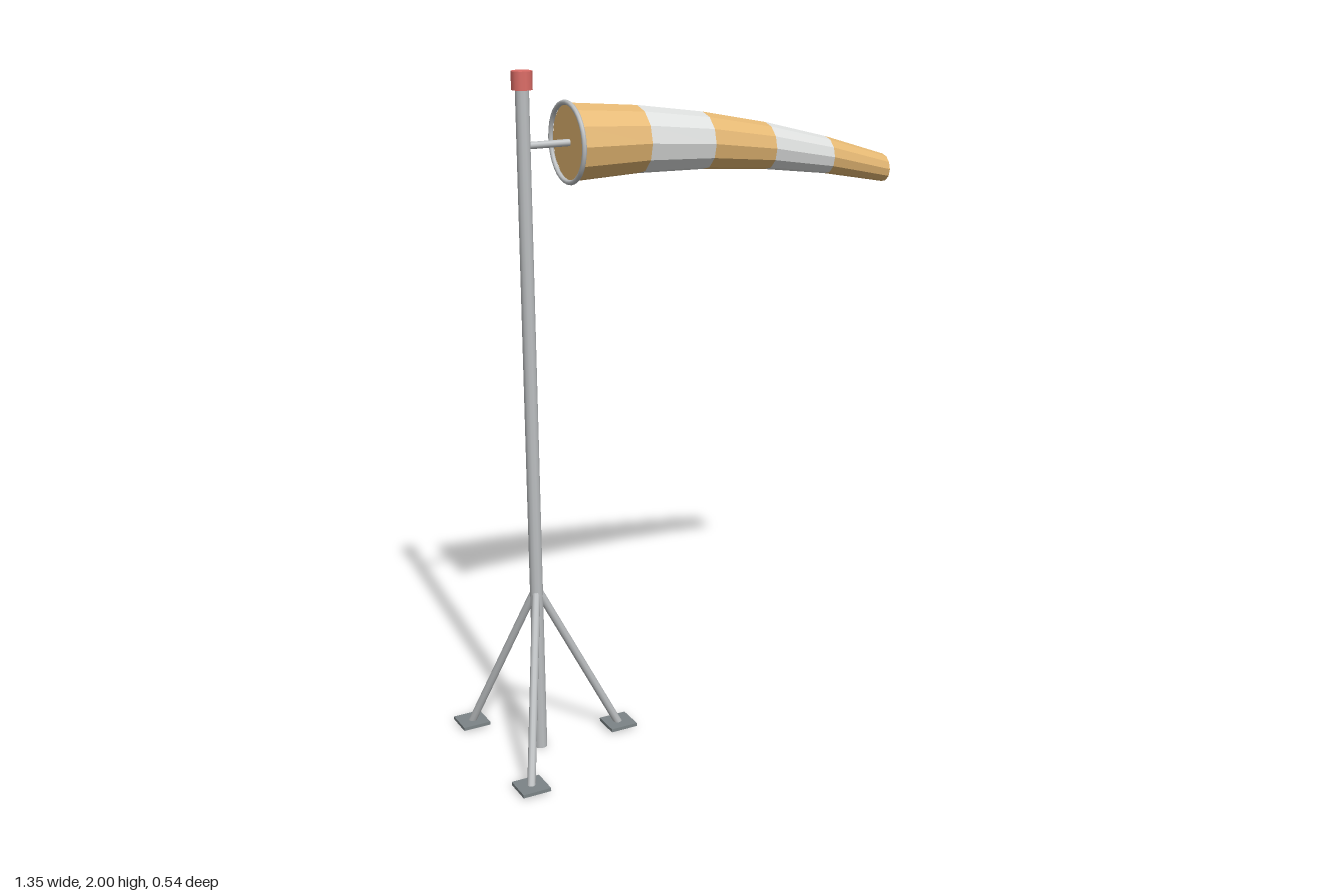
import * as THREE from 'three';

const POLE_X = -0.502;

function material(name, color) {
  const m = new THREE.MeshStandardMaterial({ color });
  m.name = name;
  return m;
}

// Faceted normals for the low-poly sock
function faceted(geometry) {
  const g = geometry.toNonIndexed();
  g.computeVertexNormals();
  return g;
}

export function createModel() {
  const model = new THREE.Group();
  model.name = 'windsock';

  const metal = material('galvanised metal', 0xbcbfc1);
  const plateGrey = material('dark plate grey', 0x7c8487);
  const orange = material('sock orange', 0xe5b873);
  const white = material('sock white', 0xdddfde);
  const red = material('beacon red', 0xdc6c66);

  function add(name, geometry, mat, parent = model) {
    const mesh = new THREE.Mesh(geometry, mat);
    mesh.name = name;
    parent.add(mesh);
    return mesh;
  }

  // Straight round bar between two points
  function bar(name, from, to, radius, sides, mat, parent) {
    const dir = to.clone().sub(from);
    const mesh = add(name, new THREE.CylinderGeometry(radius, radius, dir.length(), sides), mat, parent);
    mesh.position.copy(from).addScaledVector(dir, 0.5);
    mesh.quaternion.setFromUnitVectors(new THREE.Vector3(0, 1, 0), dir.normalize());
    return mesh;
  }
  const at = (x, y, z) => new THREE.Vector3(x, y, z);

  // Mast and beacon
  bar('mast', at(POLE_X, 0, 0), at(POLE_X, 1.955, 0), 0.019, 12, metal);
  bar('beacon', at(POLE_X, 1.95, 0), at(POLE_X, 2, 0), 0.029, 12, red);

  // Tripod legs with foot plates
  const tripod = new THREE.Group();
  tripod.name = 'tripod';
  model.add(tripod);
  for (let i = 0; i < 3; i++) {
    const a = (i * Math.PI * 2) / 3;
    const x = POLE_X + 0.26 * Math.cos(a);
    const z = 0.26 * Math.sin(a);
    bar('leg', at(x, 0.01, z), at(POLE_X, 0.515, 0), 0.012, 10, metal, tripod);
    add('footPlate', new THREE.BoxGeometry(0.085, 0.01, 0.085), plateGrey, tripod).position.set(x, 0.011, z);
  }

  // Arm and mouth hoop
  const x0 = -0.367, x1 = 0.675, height = 1.8;
  bar('arm', at(POLE_X, height, 0), at(x0 + 0.005, height, 0), 0.01, 10, metal);
  const hoop = add('mouthHoop', new THREE.TorusGeometry(0.109, 0.007, 8, 32), metal);
  hoop.rotation.y = Math.PI / 2;
  hoop.position.set(x0 - 0.006, height, 0);

  // Sock: tapered bands drooping along a parabola
  const sock = new THREE.Group();
  sock.name = 'sock';
  model.add(sock);
  const bands = 5, sides = 12;
  const radius = (t) => 0.108 - 0.066 * t;
  const centreY = (t) => height - 0.15 * t * t;
  const length = (x1 - x0) / bands;
  for (let i = 0; i < bands; i++) {
    const g = new THREE.CylinderGeometry(
      radius((i + 1) / bands), radius(i / bands), length, sides, 1, true);
    g.rotateZ(-Math.PI / 2);
    g.translate(x0 + length * (i + 0.5), 0, 0);
    const p = g.attributes.position;
    for (let k = 0; k < p.count; k++) {
      p.setY(k, p.getY(k) + centreY((p.getX(k) - x0) / (x1 - x0)));
    }
    add('sockBand', faceted(g), i % 2 ? white : orange, sock);
  }

  // Closing discs at mouth and tip
  const mouth = add('mouthDisc', new THREE.CircleGeometry(radius(0), sides), orange, sock);
  mouth.rotation.y = -Math.PI / 2;
  mouth.position.set(x0, centreY(0), 0);
  const tip = add('tipDisc', new THREE.CircleGeometry(radius(1), sides), orange, sock);
  tip.rotation.y = Math.PI / 2;
  tip.position.set(x1, centreY(1), 0);

  return model;
}
